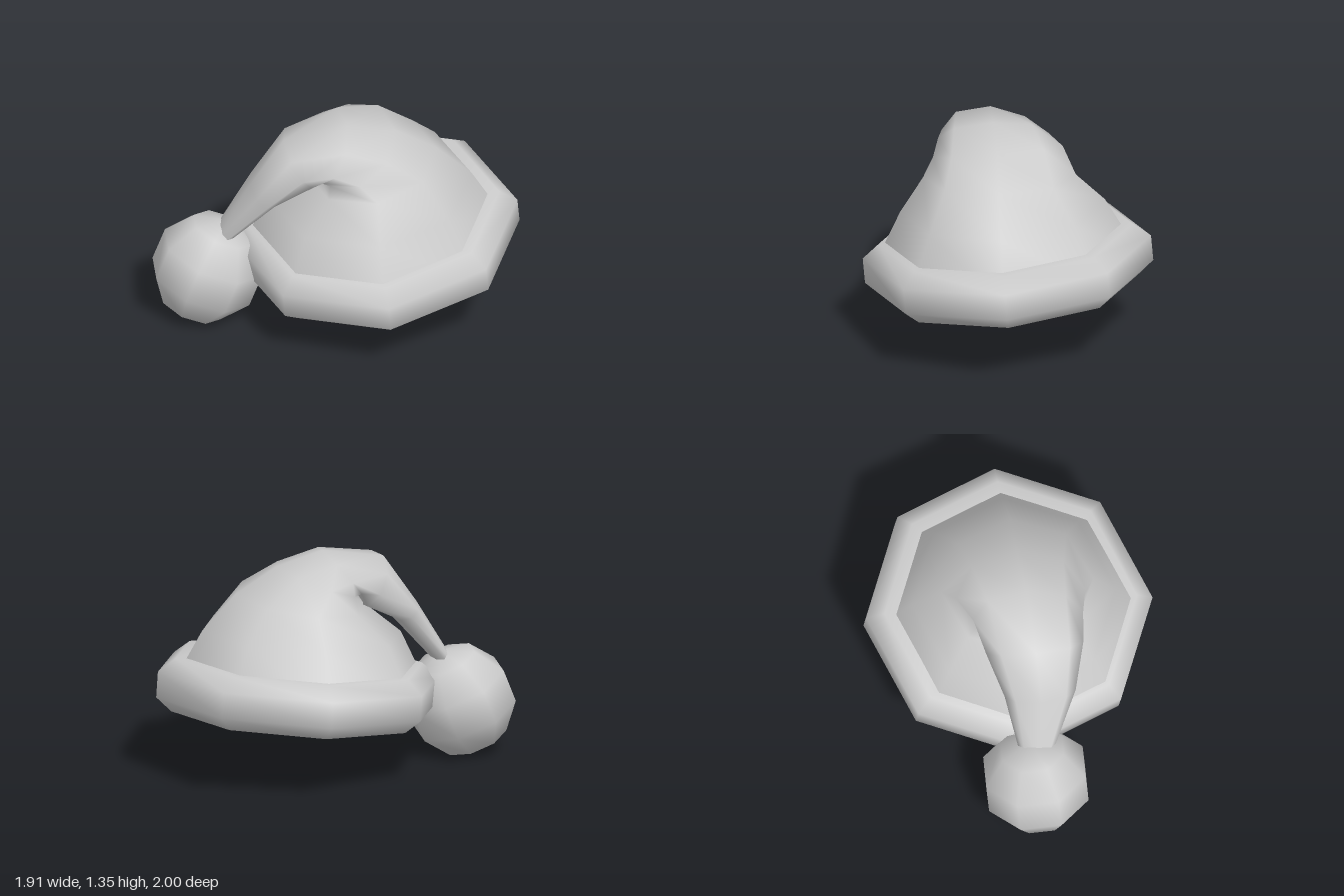
import * as THREE from 'three';

const SIDES = 8;
const TILT = 0.128; // the hat leans forward

// Each ring: s = forward along the fold, y = height, t = sideways,
// a = half width, uy = sideways lean, vs/vy = half depth vector, k = share of the tilt
const RINGS = [
  { s: 0, y: 0.5, t: 0.02, a: 0.81, uy: 0, vs: -0.81, vy: 0, k: 1 },
  { s: 0.01, y: 0.85, t: 0.03, a: 0.63, uy: 0, vs: -0.63, vy: 0, k: 0.8 },
  { s: 0.01, y: 1.05, t: 0.05, a: 0.47, uy: 0, vs: -0.41, vy: 0.05, k: 0.3 },
  { s: 0.11, y: 1.165, t: 0.06, a: 0.4, uy: -0.04, vs: -0.25, vy: 0.1, k: 0 },
  { s: 0.27, y: 1.2, t: 0.09, a: 0.34, uy: -0.02, vs: -0.11, vy: 0.14, k: 0 },
  { s: 0.46, y: 1.13, t: 0.11, a: 0.3, uy: 0.02, vs: 0.09, vy: 0.14, k: 0 },
  { s: 0.68, y: 0.92, t: 0.12, a: 0.22, uy: 0, vs: 0.08, vy: 0.04, k: 0 },
  { s: 0.94, y: 0.56, t: 0.07, a: 0.1, uy: 0, vs: 0.04, vy: 0.02, k: 0 },
];

// Skin the rings into one smooth folded cone
function foldedCone() {
  const pos = [], index = [];
  const q = Math.SQRT1_2;
  RINGS.forEach((r, i) => {
    for (let j = 0; j < SIDES; j++) {
      const th = (j / SIDES) * Math.PI * 2;
      const c = Math.cos(th), n = Math.sin(th);
      const s = r.s + r.vs * n;
      const t = r.t + r.a * c;
      const y = r.y + r.uy * c + r.vy * n - TILT * r.k * (s + t) * q;
      pos.push(0.06 + (t - s) * q, y, -0.09 + (s + t) * q);
      if (i < RINGS.length - 1) {
        const a = i * SIDES + j, b = i * SIDES + ((j + 1) % SIDES);
        index.push(a, b, a + SIDES, b, b + SIDES, a + SIDES);
      }
    }
  });
  const geo = new THREE.BufferGeometry();
  geo.setAttribute('position', new THREE.Float32BufferAttribute(pos, 3));
  geo.setIndex(index);
  geo.computeVertexNormals();
  return geo;
}

export function createModel() {
  const hat = new THREE.Group();
  hat.name = 'hat';
  const material = new THREE.MeshStandardMaterial({ color: 0xcccccc, side: THREE.DoubleSide });

  const add = (name, geometry) => {
    const mesh = new THREE.Mesh(geometry, material);
    mesh.name = name;
    hat.add(mesh);
    return mesh;
  };

  // Thick octagonal fur band, closed underneath
  const profile = [
    [0, -0.166], [0.789, -0.166], [0.89, -0.08],
    [0.89, 0.08], [0.784, 0.166], [0.6, 0.166],
  ].map(([r, y]) => new THREE.Vector2(r, y));
  const brim = add('brim', new THREE.LatheGeometry(profile, SIDES));
  brim.position.set(0.075, 0.5, -0.11);
  brim.rotation.x = TILT;

  // Soft cone that folds over and hangs down
  add('foldedCone', foldedCone());

  // Bobble on the tip
  const bobble = add('bobble', new THREE.SphereGeometry(0.35, 8, 5));
  bobble.position.set(-0.62, 0.325, 0.67);
  bobble.rotation.set(-0.2, 0.4, -0.25);

  return hat;
}
